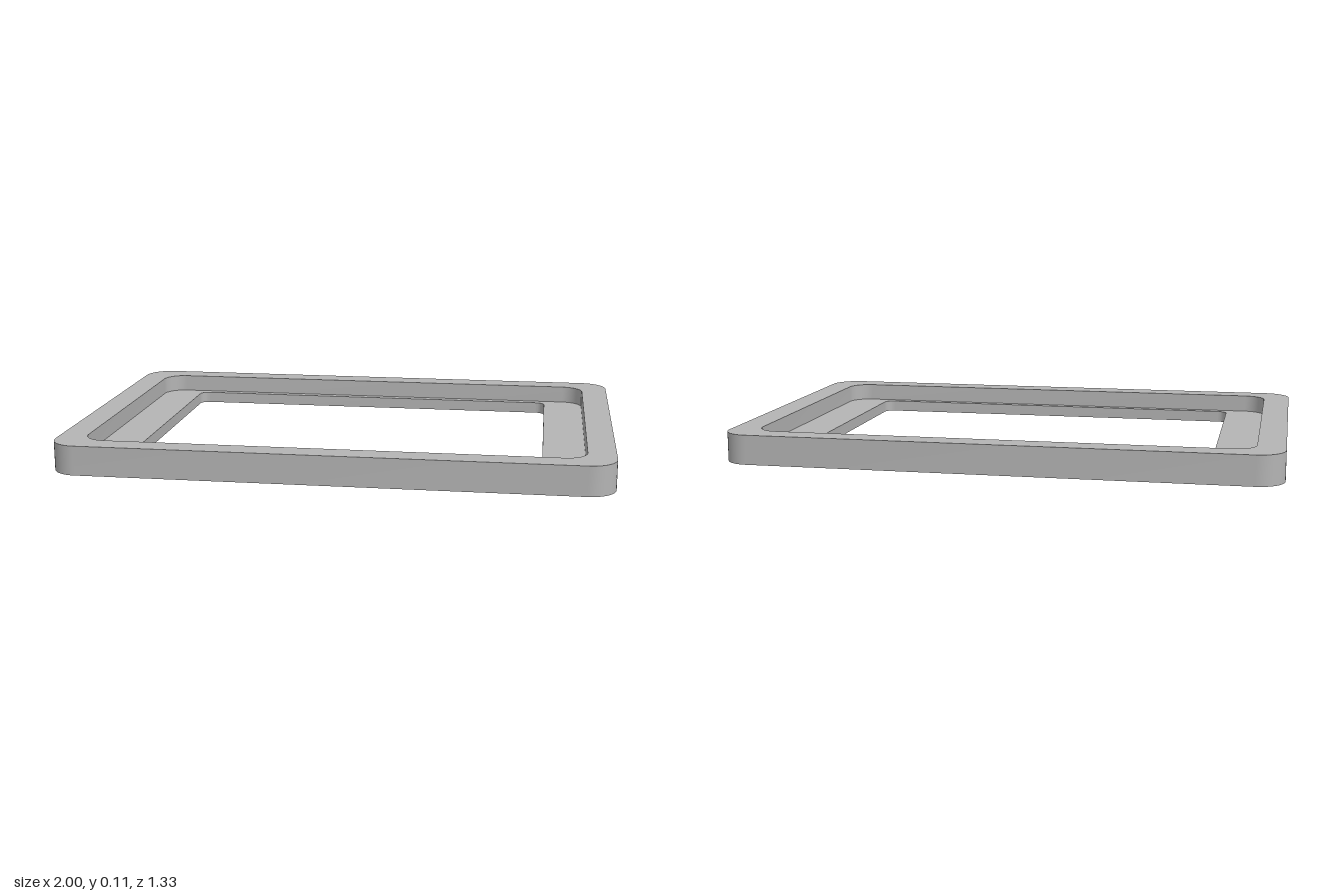
import * as THREE from 'three';
import { toCreasedNormals } from 'three/addons/utils/BufferGeometryUtils.js';

const CORNER_STEPS = 12;

// Rounded rectangle loop at height y, given half sizes and corner radius
function roundedLoop(hx, hz, r, y) {
  const points = [];
  const corners = [[1, 1], [-1, 1], [-1, -1], [1, -1]];
  corners.forEach(([sx, sz], c) => {
    for (let i = 0; i <= CORNER_STEPS; i++) {
      const a = (c + i / CORNER_STEPS) * Math.PI / 2;
      points.push([sx * (hx - r) + r * Math.cos(a), y, sz * (hz - r) + r * Math.sin(a)]);
    }
  });
  return points;
}

// Closed skin joining each loop to the next, and the last to the first
function loftRing(loops) {
  const n = loops[0].length;
  const index = [];
  loops.forEach((_, k) => {
    const a = k * n, b = ((k + 1) % loops.length) * n;
    for (let j = 0; j < n; j++) {
      const m = (j + 1) % n;
      index.push(a + j, b + j, a + m, b + j, b + m, a + m);
    }
  });
  const geometry = new THREE.BufferGeometry();
  geometry.setAttribute('position', new THREE.Float32BufferAttribute(loops.flat(2), 3));
  geometry.setIndex(index);
  return toCreasedNormals(geometry, Math.PI / 6);
}

export function createModel() {
  const group = new THREE.Group();
  group.name = 'bezelFrame';
  const grey = new THREE.MeshStandardMaterial({ color: 0xb4b4b4 });
  grey.name = 'grey';

  const height = 0.108, ledge = 0.043;
  const outer = [1, 0.667, 0.1];
  const recess = [0.9, 0.574, 0.08];
  const opening = [0.745, 0.543, 0.035];

  // Outer wall, top rim, recess wall, ledge, window wall and underside
  const frame = new THREE.Mesh(loftRing([
    roundedLoop(...outer, 0),
    roundedLoop(...outer, height),
    roundedLoop(...recess, height),
    roundedLoop(...recess, ledge),
    roundedLoop(...opening, ledge),
    roundedLoop(...opening, 0),
  ]), grey);
  frame.name = 'steppedFrame';
  group.add(frame);
  return group;
}
